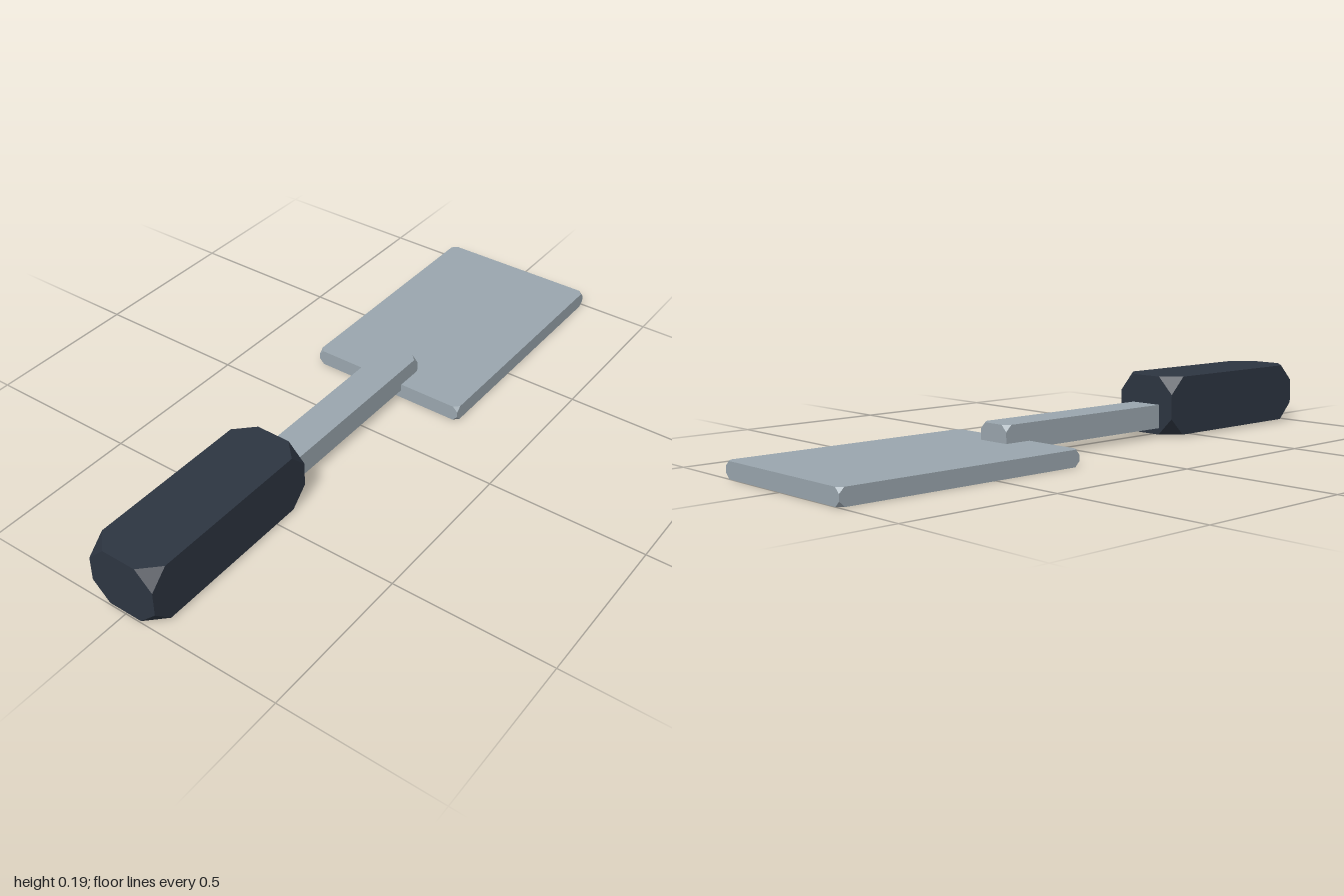
import * as THREE from 'three';
import { ConvexGeometry } from 'three/addons/geometries/ConvexGeometry.js';

// Box between two corners, with each of its eight corners sliced off by `cut`
function cutCornerBox(min, max, cut) {
  const points = [];
  const size = max.map((v, i) => v - min[i]);
  for (const sx of [-1, 1]) for (const sy of [-1, 1]) for (const sz of [-1, 1]) {
    for (let axis = 0; axis < 3; axis++) {
      const p = [sx, sy, sz].map((s, i) => s * (size[i] / 2 - (i === axis ? cut : 0)));
      points.push(new THREE.Vector3(...p));
    }
  }
  const geometry = new ConvexGeometry(points);
  geometry.translate(...min.map((v, i) => (v + max[i]) / 2));
  return geometry;
}

export function createModel() {
  const metal = new THREE.MeshStandardMaterial({ color: 0x9aa6ae });
  metal.name = 'greyMetal';
  const grip = new THREE.MeshStandardMaterial({ color: 0x2d3541 });
  grip.name = 'darkGrip';

  const group = new THREE.Group();
  group.name = 'spatula';
  const add = (name, material, min, max, cut) => {
    const mesh = new THREE.Mesh(cutCornerBox(min, max, cut), material);
    mesh.name = name;
    group.add(mesh);
  };

  // Flat blade resting on the ground
  add('blade', metal, [-0.265, 0, -1], [0.265, 0.05, -0.19], 0.016);
  // Shaft, sunk into the blade and into the grip
  add('shaft', metal, [-0.056, 0.028, -0.28], [0.056, 0.104, 0.43], 0.02);
  // Chunky faceted grip
  add('handle', grip, [-0.11, 0.007, 0.375], [0.11, 0.195, 1], 0.055);

  return group;
}
